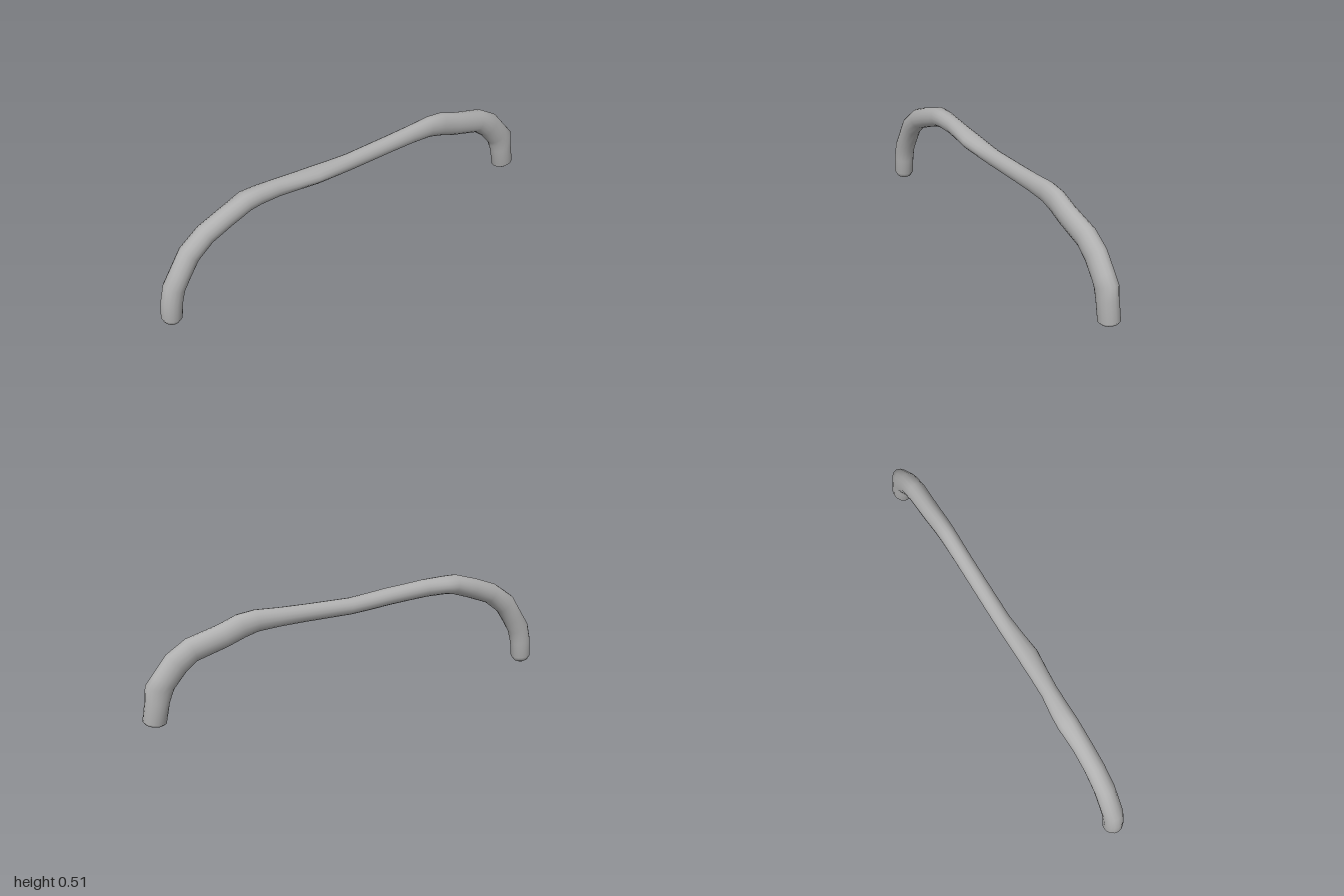
import * as THREE from 'three';
import { mergeVertices } from 'three/addons/utils/BufferGeometryUtils.js';

// Centre line from front foot to back foot: z, y, half thickness
const SPINE = [
  [0.952, 0.04, 0.047], [0.946, 0.115, 0.049], [0.929, 0.185, 0.051],
  [0.893, 0.245, 0.049], [0.845, 0.322, 0.051], [0.76, 0.388, 0.049],
  [0.657, 0.43, 0.048], [0.55, 0.467, 0.046], [0.49, 0.472, 0.042],
  [0.395, 0.473, 0.041], [0.3, 0.468, 0.039], [0.2, 0.463, 0.038],
  [0.1, 0.456, 0.038], [0, 0.451, 0.038], [-0.23, 0.457, 0.04],
  [-0.35, 0.46, 0.043], [-0.46, 0.462, 0.05], [-0.533, 0.45, 0.056],
  [-0.618, 0.42, 0.055], [-0.765, 0.382, 0.056], [-0.838, 0.333, 0.06],
  [-0.898, 0.261, 0.058], [-0.92, 0.23, 0.064], [-0.93, 0.178, 0.055],
  [-0.947, 0.085, 0.053],
];
const SIDES = 16;

const bump = (z, centre, spread) => Math.exp(-(((z - centre) / spread) ** 2));

// Sideways extents: slimmer in the middle, with one swelling on each side
function halfWidths(z) {
  const flare = THREE.MathUtils.smoothstep(Math.abs(z), 0.3, 0.9);
  return {
    left: 0.035 + 0.013 * flare + 0.02 * bump(z, 0.2, 0.12),
    right: 0.039 + 0.006 * flare + 0.015 * bump(z, 0.53, 0.09),
  };
}

// Elliptical rings square to the centre line, with rounded caps
function makeRings() {
  const rings = SPINE.map(([z, y, thick], i) => {
    const before = SPINE[Math.max(i - 1, 0)];
    const after = SPINE[Math.min(i + 1, SPINE.length - 1)];
    const along = new THREE.Vector2(after[0] - before[0], after[1] - before[1]).normalize();
    return { z, y, thick, along, ...halfWidths(z) };
  });
  const capRing = (ring, offset, scale) => ({
    ...ring,
    z: ring.z + ring.along.x * offset,
    y: ring.y + ring.along.y * offset,
    thick: ring.thick * scale,
    left: ring.left * scale,
    right: ring.right * scale,
  });
  const first = rings[0], last = rings[rings.length - 1];
  return [
    capRing(first, -0.04, 0), capRing(first, -0.022, 0.71),
    ...rings,
    capRing(last, 0.013, 0.71), capRing(last, 0.022, 0),
  ];
}

// Skin the rings into one smooth closed bar
function sweptBar() {
  const rings = makeRings();
  const positions = [], indices = [];
  for (const { z, y, thick, along, left, right } of rings) {
    for (let j = 0; j < SIDES; j++) {
      const angle = (j / SIDES) * Math.PI * 2;
      const c = Math.cos(angle), s = Math.sin(angle) * thick;
      positions.push(c * (c > 0 ? left : right), y - along.x * s, z + along.y * s);
    }
  }
  for (let i = 0; i < rings.length - 1; i++) {
    for (let j = 0; j < SIDES; j++) {
      const a = i * SIDES + j, b = i * SIDES + ((j + 1) % SIDES);
      const c = a + SIDES, d = b + SIDES;
      if (i > 0) indices.push(a, c, b);
      if (i < rings.length - 2) indices.push(b, c, d);
    }
  }
  const geometry = new THREE.BufferGeometry();
  geometry.setAttribute('position', new THREE.Float32BufferAttribute(positions, 3));
  geometry.setIndex(indices);
  const merged = mergeVertices(geometry, 1e-5);
  merged.computeVertexNormals();
  return merged;
}

export function createModel() {
  const group = new THREE.Group();
  group.name = 'curvedHandle';
  const grey = new THREE.MeshStandardMaterial({ color: 0xb0b0b0 });
  grey.name = 'grey';
  const bar = new THREE.Mesh(sweptBar(), grey);
  bar.name = 'handleBar';
  group.add(bar);
  return group;
}
